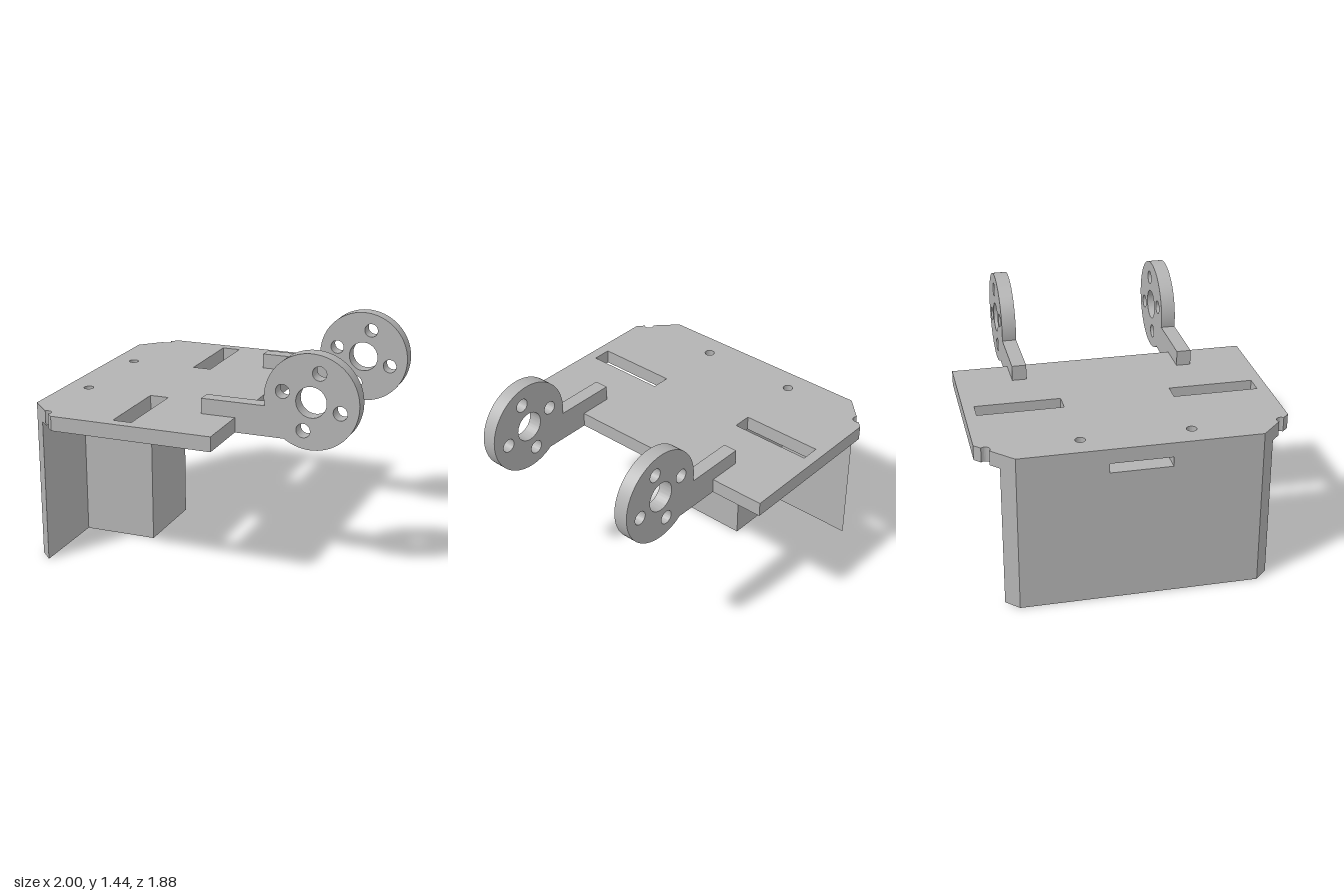
import * as THREE from 'three';
import { toCreasedNormals } from 'three/addons/utils/BufferGeometryUtils.js';

const grey = new THREE.MeshStandardMaterial({ color: 0xb3b3b3 });
grey.name = 'plain grey';

const polygon = (points) => new THREE.Shape(points.map(([x, y]) => new THREE.Vector2(x, y)));

function circleHole(shape, x, y, r) {
  shape.holes.push(new THREE.Path().absarc(x, y, r, 0, Math.PI * 2, true));
}

// Solid from a shape, extruded along +z, with smooth curves and sharp edges
function extrude(shape, depth) {
  const geometry = new THREE.ExtrudeGeometry(shape, { depth, bevelEnabled: false, curveSegments: 40 });
  return toCreasedNormals(geometry, Math.PI / 6);
}

// Solid from a plan (x, -z), standing between two heights
function upright(shape, bottom, top) {
  return extrude(shape, top - bottom).rotateX(-Math.PI / 2).translate(0, bottom, 0);
}

export function createModel() {
  const model = new THREE.Group();
  model.name = 'bracket';
  const add = (name, geometry) => {
    const mesh = new THREE.Mesh(geometry, grey);
    mesh.name = name;
    model.add(mesh);
  };
  const UNDER = 0.905, TOP = 0.997, LEDGE = 0.845;

  // Top plate with notched, chamfered rear corners
  const plate = new THREE.Shape();
  plate.moveTo(0.235, -0.938);
  plate.lineTo(0.235, 0.938);
  plate.lineTo(-0.79, 0.938);
  plate.absarc(-0.85, 0.878, 0.03, Math.PI / 4, -Math.PI * 0.75, true);
  plate.lineTo(-1, 0.728);
  plate.lineTo(-1, -0.728);
  plate.absarc(-0.85, -0.878, 0.03, Math.PI * 0.75, -Math.PI / 4, true);
  plate.lineTo(-0.79, -0.938);
  plate.closePath();
  for (const s of [-1, 1]) {
    // Slot and screw hole on each side
    const slot = [[-0.415, 0.34], [-0.295, 0.34], [-0.295, 0.868], [-0.415, 0.868]];
    plate.holes.push(polygon(slot.map(([x, y]) => [x, y * s])));
    circleHole(plate, -0.85, 0.33 * s, 0.031);
  }
  add('topPlate', upright(plate, UNDER, TOP));

  // Rear wall and the block in front of it, one plan up to the ledge
  add('wallAndBlock', upright(polygon([
    [-1, -0.728], [-0.922, -0.806], [-0.922, -0.264], [-0.45, -0.264],
    [-0.45, 0.264], [-0.922, 0.264], [-0.922, 0.806], [-1, 0.728],
  ]), 0, LEDGE));

  // Upper wall ends with rails, leaving a window between them
  for (const s of [-1, 1]) {
    const plan = [
      [-1, 0.188], [-0.62, 0.188], [-0.62, 0.264],
      [-0.922, 0.264], [-0.922, 0.806], [-1, 0.728],
    ];
    add(s < 0 ? 'leftUpperWall' : 'rightUpperWall',
      upright(polygon(plan.map(([x, y]) => [x, y * s])), LEDGE, UNDER));
  }

  // Arms: a bar running into a drilled disc
  const cx = 0.707, cy = 1.145, r = 0.291, barTop = 1.093;
  const arm = new THREE.Shape();
  arm.moveTo(0.02, barTop);
  arm.lineTo(0.02, UNDER);
  arm.absarc(cx, cy, r,
    -Math.PI + Math.asin((cy - UNDER) / r), Math.PI + Math.asin((cy - barTop) / r), false);
  arm.closePath();
  circleHole(arm, cx, cy, 0.094);
  for (let i = 0; i < 4; i++) {
    const a = THREE.MathUtils.degToRad(75 + i * 90);
    circleHole(arm, cx + 0.183 * Math.cos(a), cy + 0.183 * Math.sin(a), 0.043);
  }
  add('leftArm', extrude(arm, 0.09).translate(0, 0, 0.472));
  add('rightArm', extrude(arm, 0.09).translate(0, 0, -0.587));

  return model;
}
